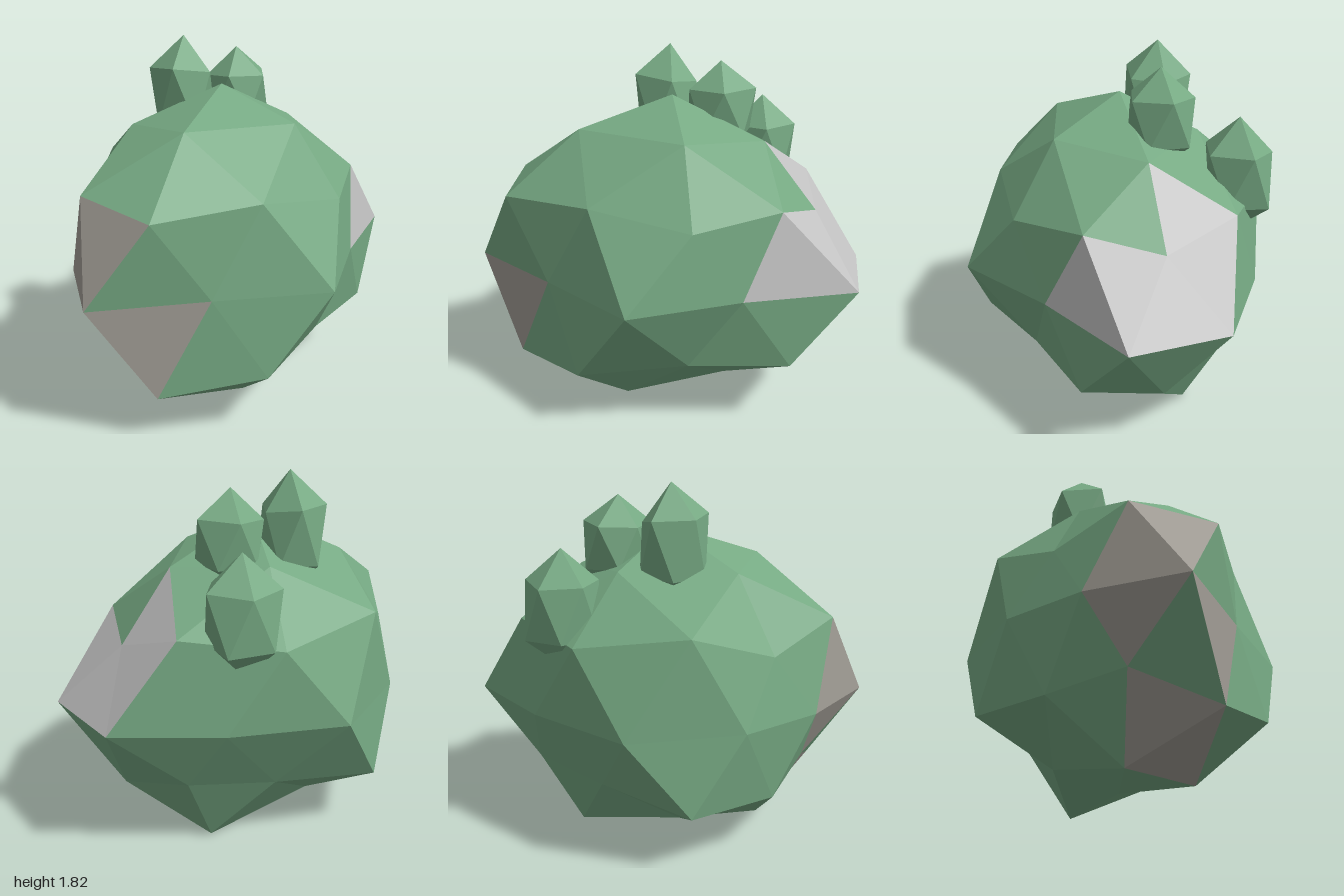
import * as THREE from 'three';

const leafGreen = new THREE.MeshStandardMaterial({ name: 'leafGreen', color: 0x76a983, flatShading: true });
const paleStone = new THREE.MeshStandardMaterial({ name: 'paleStone', color: 0xc2c2c2, flatShading: true });
const warmStone = new THREE.MeshStandardMaterial({ name: 'warmStone', color: 0xa09c94, flatShading: true });

// Flat triangles between named points, each turned to face away from the centre
function facets(points, faces) {
  const pos = [];
  for (const names of faces) {
    let [a, b, c] = names.map((n) => points[n]);
    const normal = b.clone().sub(a).cross(c.clone().sub(a));
    if (normal.dot(a.clone().add(b).add(c)) < 0) [b, c] = [c, b];
    for (const p of [a, b, c]) pos.push(p.x, p.y, p.z);
  }
  const geo = new THREE.BufferGeometry();
  geo.setAttribute('position', new THREE.Float32BufferAttribute(pos, 3));
  geo.computeVertexNormals();
  return geo;
}

// Ring of points on a unit sphere, each pushed in or out, then stretched
function ring(points, name, y, startDeg, pushes, scale) {
  const r = Math.sqrt(1 - y * y);
  pushes.forEach((f, i) => {
    const a = THREE.MathUtils.degToRad(startDeg + (i * 360) / pushes.length);
    points[name + i] = new THREE.Vector3(r * Math.cos(a), y, r * Math.sin(a)).multiply(scale).multiplyScalar(f);
  });
}

// Boulder: uneven sphere of 80 facets
function boulder() {
  const s = new THREE.Vector3(1, 0.85, 0.765);
  const p = { T: new THREE.Vector3(0, 0.87, 0), Z: new THREE.Vector3(0, -0.68, 0) };
  ring(p, 'A', 0.851, 0, [0.91, 0.97, 0.99, 0.94, 0.95], s);
  ring(p, 'B', 0.526, 36, [0.91, 0.95, 0.99, 1.03, 0.965], s);
  ring(p, 'U', 0.447, 0, [0.84, 0.92, 1.04, 0.83, 1.01], s);
  ring(p, 'E', 0, 18, [1.05, 0.815, 1.07, 0.85, 1.05, 0.84, 0.87, 1.03, 0.9, 1.02], s);
  ring(p, 'L', -0.447, 36, [0.97, 1.06, 0.81, 1.04, 0.845], s);
  ring(p, 'D', -0.526, 0, [0.91, 0.83, 1.06, 0.9, 0.81], s);
  ring(p, 'F', -0.851, 36, [0.79, 0.93, 0.94, 0.83, 1.0], s);

  const faces = [];
  for (let k = 0; k < 5; k++) {
    const n = (k + 1) % 5, m = (k + 4) % 5;
    const e = 'E' + 2 * k, e1 = 'E' + (2 * k + 1), e0 = 'E' + ((2 * k + 9) % 10);
    const [A, B, U, L, D, F] = ['A', 'B', 'U', 'L', 'D', 'F'].map((c) => c + k);
    faces.push(
      ['T', A, 'A' + n], [A, 'A' + n, B], [A, B, U], ['A' + n, 'U' + n, B],
      [U, B, e], [B, 'U' + n, e1], [B, e1, e], [e, e1, L],
      [U, e, e0], [e0, e, D], [e, L, D], [e0, D, 'L' + m],
      [D, L, F], [D, F, 'F' + m], [D, 'F' + m, 'L' + m], ['Z', 'F' + m, F],
    );
  }

  // Bare stone patches
  const key = (f) => [...f].sort().join(' ');
  const pale = ['A0 B4 U0', 'B4 E9 U0', 'E0 E9 U0', 'B0 E0 U0', 'B0 E0 E1'];
  const warm = ['D2 E3 E4', 'B2 E4 U2', 'B2 E4 E5', 'E4 E5 L2', 'D2 F2 L2', 'D2 F1 F2'];
  const group = new THREE.Group();
  group.name = 'boulder';
  const add = (name, mat, test) => {
    const mesh = new THREE.Mesh(facets(p, faces.filter((f) => test(key(f)))), mat);
    mesh.name = name;
    group.add(mesh);
  };
  add('mossyFacets', leafGreen, (k) => !pale.includes(k) && !warm.includes(k));
  add('paleStonePatch', paleStone, (k) => pale.includes(k));
  add('warmStonePatch', warmStone, (k) => warm.includes(k));
  group.position.set(0, 0.72, -0.02);
  return group;
}

// Bud: tall twenty-sided lump
function bud(name, x, y, z, radius, height, upper, lower) {
  const s = new THREE.Vector3(radius, height, radius);
  const p = { T: new THREE.Vector3(0, height, 0), Z: new THREE.Vector3(0, -height, 0) };
  ring(p, 'U', 0.447, 0, upper, s);
  ring(p, 'L', -0.447, 36, lower, s);
  const faces = [];
  for (let k = 0; k < 5; k++) {
    const n = (k + 1) % 5;
    faces.push(
      ['T', 'U' + k, 'U' + n], ['U' + k, 'U' + n, 'L' + k],
      ['U' + n, 'L' + k, 'L' + n], ['Z', 'L' + k, 'L' + n],
    );
  }
  const mesh = new THREE.Mesh(facets(p, faces), leafGreen);
  mesh.name = name;
  mesh.position.set(x, y, z);
  return mesh;
}

export function createModel() {
  const model = new THREE.Group();
  model.name = 'mossyBoulder';
  model.add(
    boulder(),
    bud('tallBud', -0.07, 1.51, -0.24, 0.19, 0.31, [0.85, 0.95, 1.15, 1.05, 1], [0.95, 1, 1, 1, 0.95]),
    bud('frontBud', 0.22, 1.5, -0.16, 0.195, 0.25, [1.06, 0.95, 1, 0.9, 0.95], [1, 0.95, 0.95, 0.9, 1]),
    bud('backBud', 0.39, 1.24, -0.5, 0.2, 0.29, [1.04, 0.98, 1, 1, 0.92], [0.95, 0.95, 1, 1, 1.05]),
  );
  return model;
}
